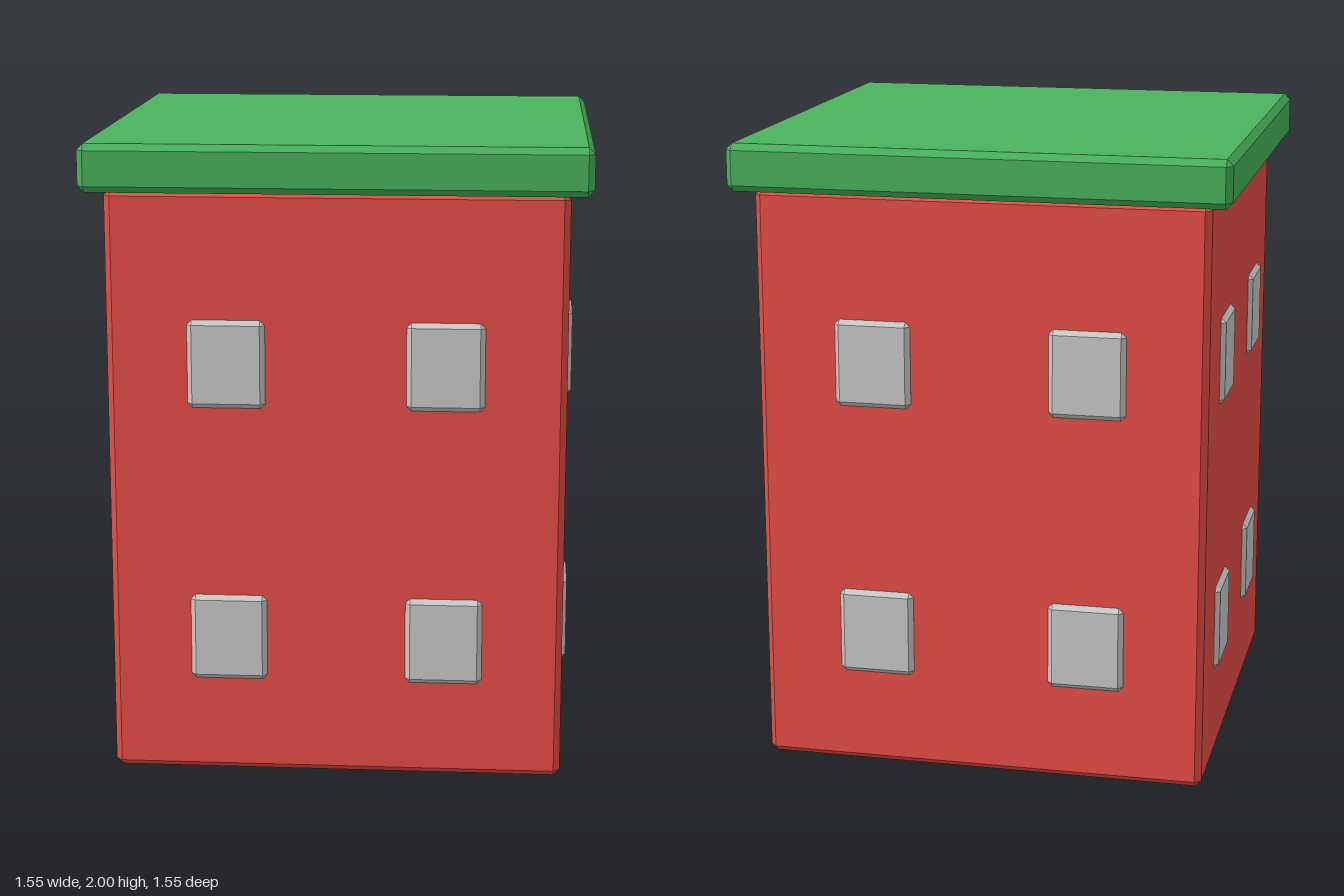
import * as THREE from 'three';
import { ConvexGeometry } from 'three/addons/geometries/ConvexGeometry.js';

// Box with every edge cut by a flat chamfer, centred on the origin
function chamferBox(w, h, d, bevel) {
  const points = [];
  for (const sx of [-1, 1]) for (const sy of [-1, 1]) for (const sz of [-1, 1]) {
    const x = w / 2, y = h / 2, z = d / 2, b = bevel;
    points.push(
      new THREE.Vector3(sx * x, sy * (y - b), sz * (z - b)),
      new THREE.Vector3(sx * (x - b), sy * y, sz * (z - b)),
      new THREE.Vector3(sx * (x - b), sy * (y - b), sz * z)
    );
  }
  return new ConvexGeometry(points);
}

function addPart(parent, name, geometry, material, x, y, z) {
  const mesh = new THREE.Mesh(geometry, material);
  mesh.name = name;
  mesh.position.set(x, y, z);
  parent.add(mesh);
}

export function createModel() {
  const model = new THREE.Group();
  model.name = 'house';

  const red = new THREE.MeshStandardMaterial({ color: 0xe84e47, flatShading: true });
  const green = new THREE.MeshStandardMaterial({ color: 0x49b45d, flatShading: true });
  const grey = new THREE.MeshStandardMaterial({ color: 0xcccccc, flatShading: true });

  // Walls and overhanging flat roof
  addPart(model, 'walls', chamferBox(1.415, 1.855, 1.415, 0.02), red, 0, 0.9275, 0);
  addPart(model, 'roof', chamferBox(1.55, 0.148, 1.55, 0.02), green, 0, 1.926, 0);

  // Four windows on each of the four sides
  const pane = chamferBox(0.24, 0.275, 0.05, 0.015);
  for (let i = 0; i < 4; i++) {
    const side = new THREE.Group();
    side.name = ['frontWindows', 'leftWindows', 'backWindows', 'rightWindows'][i];
    side.rotation.y = i * Math.PI / 2;
    for (const y of [0.443, 1.32]) for (const x of [-0.337, 0.337]) {
      addPart(side, 'window', pane, grey, x, y, 0.698);
    }
    model.add(side);
  }
  return model;
}
